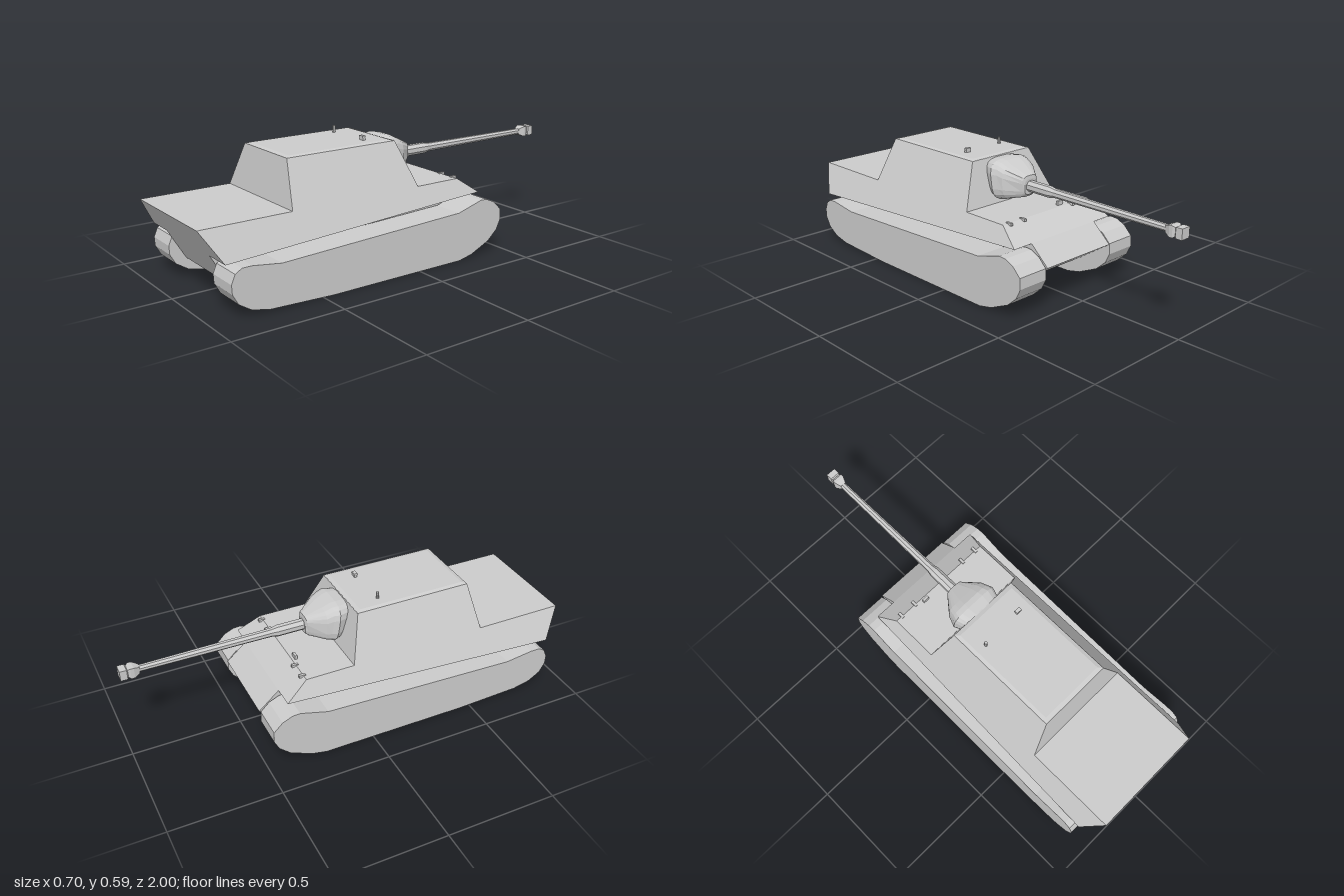
import * as THREE from 'three';

const material = new THREE.MeshStandardMaterial({ color: 0xcccccc, flatShading: true });

function add(parent, name, geometry, x = 0, y = 0, z = 0) {
  const mesh = new THREE.Mesh(geometry, material);
  mesh.name = name;
  mesh.position.set(x, y, z);
  parent.add(mesh);
  return mesh;
}

// Side profile of [z, y] points, spread across x to +-halfWidth(y)
function profileBody(points, halfWidth) {
  const shape = new THREE.Shape(points.map(([z, y]) => new THREE.Vector2(z, y)));
  const geo = new THREE.ExtrudeGeometry(shape, { depth: 2, bevelEnabled: false, steps: 1 });
  geo.translate(0, 0, -1).rotateY(-Math.PI / 2);
  const p = geo.attributes.position;
  for (let i = 0; i < p.count; i++) p.setX(i, p.getX(i) * halfWidth(p.getY(i)));
  geo.computeVertexNormals();
  return geo;
}

// Rounded-square rings [z, centreY, halfWidth, halfHeight, tilt] joined towards -z
function loft(rings, sides) {
  const pos = [], index = [];
  const round = (v) => Math.sign(v) * Math.pow(Math.abs(v), 0.55);
  for (const [z, cy, hw, hh, tilt] of rings) {
    for (let i = 0; i < sides; i++) {
      const a = ((i + 0.5) / sides) * Math.PI * 2;
      const dy = round(Math.sin(a)) * hh;
      pos.push(round(Math.cos(a)) * hw, cy + dy, z + tilt * dy);
    }
  }
  for (let r = 0; r < rings.length - 1; r++) {
    for (let i = 0; i < sides; i++) {
      const a = r * sides + i, b = r * sides + ((i + 1) % sides);
      index.push(a, a + sides, b, b, a + sides, b + sides);
    }
  }
  const last = (rings.length - 1) * sides;
  for (let i = 1; i < sides - 1; i++) index.push(last, last + i + 1, last + i);
  const geo = new THREE.BufferGeometry();
  geo.setAttribute('position', new THREE.Float32BufferAttribute(pos, 3));
  geo.setIndex(index);
  geo.computeVertexNormals();
  return geo;
}

// Turned piece pointing along -z, from [radius, distance] points
function turned(points, sides) {
  const geo = new THREE.LatheGeometry(points.map(([r, d]) => new THREE.Vector2(r, d)), sides);
  return geo.rotateY(Math.PI / sides).rotateX(-Math.PI / 2);
}

export function createModel() {
  const model = new THREE.Group();
  model.name = 'trackedGunVehicle';

  // Upper hull and fighting compartment share one sloping side plane
  add(model, 'upperHull', profileBody([
    [0.92, 0.223], [1, 0.357], [0.583, 0.357], [0.55, 0.551],
    [0.005, 0.551], [-0.055, 0.355], [-0.28, 0.355], [-0.382, 0.283],
  ], (y) => 0.325 - 0.466 * (y - 0.223)));

  // Shallow crowned roof plate
  add(model, 'roofPlate', profileBody(
    [[0.55, 0.55], [0.53, 0.556], [0.025, 0.556], [0.004, 0.55]],
    (y) => (y > 0.553 ? 0.155 : 0.172)));

  // Narrow lower hull between the tracks, with the nose plates
  add(model, 'lowerHull', profileBody([
    [0.838, 0.085], [0.92, 0.223], [0.85, 0.24], [-0.34, 0.29],
    [-0.382, 0.283], [-0.475, 0.2], [-0.3, 0.085],
  ], () => 0.196));

  // Tracks
  const track = [
    [0.45, 0], [0.75, 0.012], [0.83, 0.03], [0.885, 0.065], [0.91, 0.11], [0.912, 0.15],
    [0.895, 0.19], [0.865, 0.208], [0.82, 0.208], [0.69, 0.19], [-0.22, 0.225],
    [-0.35, 0.262], [-0.385, 0.26], [-0.43, 0.24], [-0.47, 0.2], [-0.472, 0.15],
    [-0.45, 0.105], [-0.4, 0.06], [-0.3, 0.015], [-0.23, 0],
  ];
  for (const [side, name] of [[1, 'leftTrack'], [-1, 'rightTrack']]) {
    add(model, name, profileBody(track, () => 0.075), side * 0.277);
  }

  // Gun mount
  add(model, 'mantlet', loft([
    [-0.01, 0.46, 0.1, 0.085, 0.3],
    [-0.055, 0.46, 0.118, 0.09, 0.15],
    [-0.08, 0.46, 0.108, 0.086, 0.15],
    [-0.105, 0.455, 0.1, 0.075, 0.05],
    [-0.17, 0.443, 0.045, 0.05, -0.15],
    [-0.18, 0.443, 0.035, 0.035, 0],
  ], 20));

  // Stepped barrel and square muzzle brake
  add(model, 'barrel', turned([
    [0, 0.1], [0.026, 0.1], [0.026, 0.3], [0.02, 0.33], [0.015, 0.94], [0, 0.94],
  ], 8), 0, 0.445, 0);
  add(model, 'muzzleBrake', turned([
    [0, 0.915], [0.02, 0.915], [0.035, 0.94], [0.035, 0.955], [0.026, 0.965],
    [0.033, 0.97], [0.033, 1], [0, 1],
  ], 4), 0, 0.445, 0);

  // Roof fittings
  add(model, 'roofPeriscope', new THREE.CylinderGeometry(0.007, 0.007, 0.036, 8), -0.108, 0.569, 0.132);
  add(model, 'roofVentBase', new THREE.BoxGeometry(0.026, 0.012, 0.012), 0.096, 0.56, 0.122);
  add(model, 'roofVentCap', new THREE.BoxGeometry(0.026, 0.009, 0.016), 0.096, 0.571, 0.122);

  // Driver's periscope and small brackets along the front deck edge
  add(model, 'driverPeriscope', new THREE.BoxGeometry(0.03, 0.022, 0.012), -0.1, 0.363, -0.262);
  for (const x of [-0.15, 0.15, -0.23, 0.23]) {
    add(model, 'deckBracket', new THREE.BoxGeometry(0.012, 0.012, 0.03), x, 0.354, -0.285);
  }
  return model;
}
